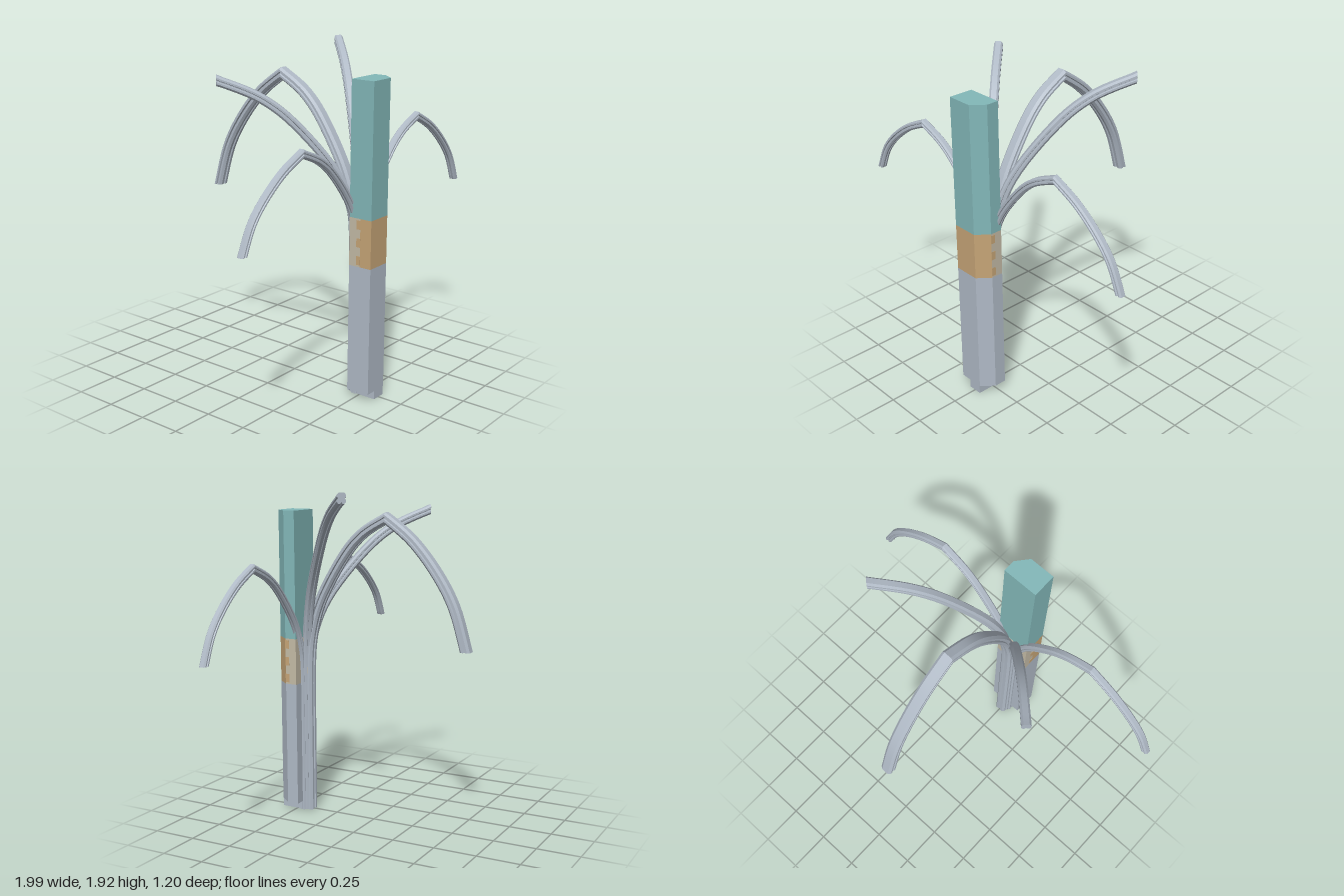
import * as THREE from 'three';
import { toCreasedNormals } from 'three/addons/utils/BufferGeometryUtils.js';

const V2 = (x, y) => new THREE.Vector2(x, y);
const UP = new THREE.Vector3(0, 1, 0);

// Ribbed section, unit half sizes, counter-clockwise: grooved sides and underside
const half = [[0.1, -0.75], [0.2, -1], [0.65, -1], [1, -0.6], [1, -0.22], [0.72, -0.1],
  [0.72, 0.1], [1, 0.22], [1, 0.6], [0.6, 1]];
const SECTION = [...half, ...half.slice().reverse().map(([a, b]) => [-a, b])].map(p => V2(...p));

// Normalised rise (trunk to apex) and fall (apex to hanging tip)
const RISE = [[0, 0], [0.03, 0.26], [0.16, 0.5], [0.45, 0.76], [0.7, 0.906], [1, 1]];
const FALL = [[0, 0], [0.33, 0.17], [0.63, 0.41], [0.85, 0.67], [1, 1]];
const BAND_LOW = 0.78, BAND_HIGH = 1.05;

// Rings of {centre, normal} in the vertical plane of one branch
function branchRings(reach, apexY, fall) {
  const rings = [{ p: V2(0, 0), n: V2(-1, 0) }];
  const addCurve = (pts, skipFirst) => {
    const curve = new THREE.SplineCurve(pts);
    for (let i = skipFirst ? 1 : 0; i <= 28; i++) {
      const t = curve.getTangent(i / 28);
      rings.push({ p: curve.getPoint(i / 28), n: V2(-t.y, t.x) });
    }
  };
  addCurve(RISE.map(([u, v]) => V2(u * reach, BAND_LOW + v * (apexY - BAND_LOW))), false);
  rings[1].n.set(-1, 0);
  rings[rings.length - 1].n.set(0, 1.15); // vertical mitre at the apex
  if (fall) {
    addCurve(FALL.map(([u, v]) => V2(reach + u * fall, apexY - v * (apexY - BAND_HIGH))), true);
    rings[rings.length - 1].n.set(1.05, 0); // level cut at the tip
  }
  return rings;
}

// Sweeps the section along the rings
function branchGeometry({ x, z, dir, reach, apexY, fall, width, thick }) {
  const out = new THREE.Vector3(dir[0], 0, dir[1]).normalize();
  const lateral = new THREE.Vector3().crossVectors(UP, out);
  const rings = branchRings(reach, apexY, fall);
  const pos = [], idx = [], m = SECTION.length;
  for (const { p, n } of rings) {
    for (const s of SECTION) {
      const b = s.y * thick / 2;
      const v = new THREE.Vector3(x, p.y + n.y * b, z)
        .addScaledVector(out, p.x + n.x * b)
        .addScaledVector(lateral, s.x * width / 2);
      pos.push(v.x, v.y, v.z);
    }
  }
  for (let i = 0; i < rings.length - 1; i++) {
    for (let j = 0; j < m; j++) {
      const a = i * m + j, b = i * m + (j + 1) % m;
      idx.push(a, b, a + m, b, b + m, a + m);
    }
  }
  const last = (rings.length - 1) * m;
  for (const [a, b, c] of THREE.ShapeUtils.triangulateShape(SECTION, [])) {
    idx.push(c, b, a, last + a, last + b, last + c);
  }
  const g = new THREE.BufferGeometry();
  g.setAttribute('position', new THREE.Float32BufferAttribute(pos, 3));
  g.setIndex(idx);
  return toCreasedNormals(g, 0.55);
}

// Upright prism from an x/z outline
function prism(outline, y0, y1) {
  const shape = new THREE.Shape(outline.map(([x, z]) => V2(x, -z)));
  const g = new THREE.ExtrudeGeometry(shape, { depth: y1 - y0, bevelEnabled: false });
  return g.rotateX(-Math.PI / 2).translate(0, y0, 0);
}

export function createModel() {
  const group = new THREE.Group();
  const material = (name, color) => {
    const m = new THREE.MeshStandardMaterial({ color });
    m.name = name;
    return m;
  };
  const grey = material('grey', 0xb0bac6);
  const teal = material('teal', 0x83b8b9);
  const tan = material('tan', 0xc6a577);
  const beige = material('beige', 0xc4bba6);
  const add = (name, geometry, mat) => {
    const mesh = new THREE.Mesh(geometry, mat);
    mesh.name = name;
    group.add(mesh);
    return mesh;
  };

  // Pillar with one chamfered front corner, in stacked colours
  const L = -0.105, R = 0.103, back = 0.46, split = 0.53, front = 0.6;
  const full = [[L, front], [0.045, front], [R, split], [R, back], [L, back]];
  add('pillarLower', prism(full, 0.05, BAND_LOW), grey);
  add('pillarUpper', prism(full, BAND_HIGH, 1.79), teal);
  add('bandFront', prism([[L, front], [0.045, front], [R, split], [L, split]], BAND_LOW, BAND_HIGH), tan);
  add('bandRear', prism([[L, split], [R, split], [R, back], [L, back]], BAND_LOW, BAND_HIGH), beige);

  // Small checks where the band colours meet
  for (const x of [L, R]) {
    for (const y of [0.815, 0.915, 1.015]) {
      add('bandCheck', new THREE.BoxGeometry(0.003, 0.05, 0.025).translate(x, y, 0.5185), tan);
    }
  }

  // Foot under the pillar, and collar round the trunk
  add('foot', new THREE.BoxGeometry(0.084, 0.05, 0.14).translate(0, 0.025, 0.53), grey);
  add('trunkCollar', prism([[-0.05, 0.46], [0.05, 0.46], [0.02, 0.41], [-0.02, 0.41]],
    BAND_LOW, BAND_HIGH), beige);

  // Branches running up the trunk and arching outwards
  add('backBranch', branchGeometry({ x: 0, z: 0.43, dir: [0, -1], reach: 0.51, apexY: 1.76,
    fall: 0.488, width: 0.07, thick: 0.056 }), grey);
  for (const s of [-1, 1]) {
    const side = s > 0 ? 'left' : 'right';
    add(side + 'SideBranch', branchGeometry({ x: s * 0.03, z: 0.462, dir: [s, 0], reach: 0.495,
      apexY: s > 0 ? 1.505 : 1.47, fall: 0.45, width: 0.04, thick: 0.042 }), grey);
    add(side + 'DiagonalBranch', branchGeometry({ x: s * 0.012, z: 0.44, dir: [s, -1.03], reach: 0.745,
      apexY: s > 0 ? 1.89 : 1.78, fall: 0, width: 0.05, thick: 0.05 }), grey);
  }
  return group;
}
